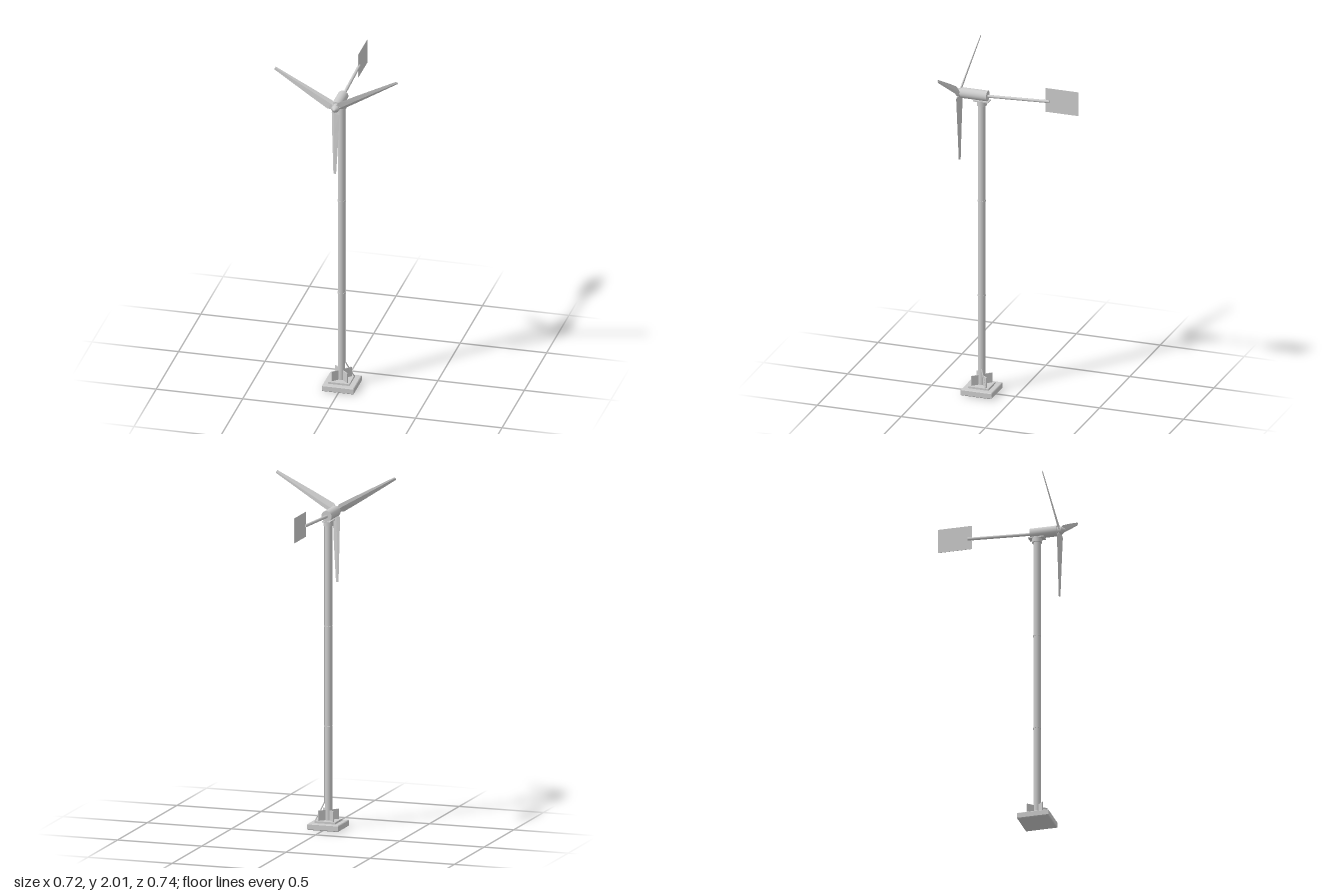
import * as THREE from 'three';

const AX = -0.005; // tower axis
const AZ = 0.203;
const HUB_Y = 1.79;
const grey = new THREE.MeshStandardMaterial({ color: 0xcccccc });
const flat = new THREE.MeshStandardMaterial({ color: 0xcccccc, flatShading: true });
const thin = new THREE.MeshStandardMaterial({ color: 0xcccccc, side: THREE.DoubleSide });

function add(parent, name, geometry, x, y, z, material = grey) {
  const mesh = new THREE.Mesh(geometry, material);
  mesh.name = name;
  mesh.position.set(x, y, z);
  parent.add(mesh);
  return mesh;
}

// Square slab with chamfered edges, resting on y = 0
function slab(size, height, bevel) {
  const h = size / 2 - bevel;
  const shape = new THREE.Shape([[-h, -h], [h, -h], [h, h], [-h, h]].map(p => new THREE.Vector2(...p)));
  const geo = new THREE.ExtrudeGeometry(shape, {
    depth: height - 2 * bevel, bevelEnabled: true, bevelSize: bevel, bevelThickness: bevel, bevelSegments: 1,
  });
  return geo.rotateX(-Math.PI / 2).translate(0, bevel, 0);
}

// Tapered, pitched blade pointing up +y, lofted from four-sided sections
function bladeGeometry() {
  // distance from hub, chord, thickness, pitch, sideways shift
  const sections = [
    [0.012, 0.026, 0.016, 0.40, 0],
    [0.035, 0.054, 0.012, 0.40, 0],
    [0.15, 0.044, 0.009, 0.34, 0.001],
    [0.29, 0.030, 0.007, 0.31, 0.003],
    [0.408, 0.018, 0.005, 0.30, 0.005],
  ];
  const pos = [], idx = [], n = 4;
  for (const [r, c, t, pitch, shift] of sections) {
    const loop = [[c / 2, 0], [c * 0.12, -t / 2], [-c / 2, 0], [c * 0.12, t / 2]];
    for (const [x, z] of loop) {
      pos.push(x * Math.cos(pitch) + z * Math.sin(pitch) + shift, r, z * Math.cos(pitch) - x * Math.sin(pitch));
    }
  }
  for (let s = 0; s < sections.length - 1; s++) {
    for (let i = 0; i < n; i++) {
      const a = s * n + i, b = s * n + (i + 1) % n;
      idx.push(a, b, b + n, a, b + n, a + n);
    }
  }
  const e = (sections.length - 1) * n;
  idx.push(0, 2, 1, 0, 3, 2, e, e + 1, e + 2, e, e + 2, e + 3);
  const geo = new THREE.BufferGeometry();
  geo.setAttribute('position', new THREE.Float32BufferAttribute(pos, 3));
  geo.setIndex(idx);
  geo.computeVertexNormals();
  return geo;
}

// Straight rod between two points
function rod(parent, name, from, to, radius, sides = 8) {
  const a = new THREE.Vector3(...from), b = new THREE.Vector3(...to);
  const dir = b.clone().sub(a);
  const mesh = add(parent, name, new THREE.CylinderGeometry(radius, radius, dir.length(), sides), 0, 0, 0);
  mesh.position.copy(a).add(b).multiplyScalar(0.5);
  mesh.quaternion.setFromUnitVectors(new THREE.Vector3(0, 1, 0), dir.normalize());
  return mesh;
}

export function createModel() {
  const model = new THREE.Group();
  model.name = 'windTurbine';

  // Foundation with mounting plate and diagonal stiffeners
  const base = new THREE.Group();
  base.name = 'foundation';
  model.add(base);
  add(base, 'footing', slab(0.184, 0.036, 0.004), AX + 0.002, 0, AZ, flat);
  add(base, 'mountingPlate', new THREE.BoxGeometry(0.122, 0.012, 0.122), AX, 0.041, AZ);
  for (const side of [-1, 1]) {
    const fin = add(base, 'stiffener', new THREE.BoxGeometry(0.13, 0.058, 0.006), AX, 0.076, AZ);
    fin.rotation.y = side * Math.PI / 4;
  }

  // Tower in three sections with joint rings
  const tower = new THREE.Group();
  tower.name = 'tower';
  model.add(tower);
  add(tower, 'pole', new THREE.CylinderGeometry(0.021, 0.021, 1.69, 20), AX, 0.89, AZ);
  for (const y of [0.583, 1.155]) {
    add(tower, 'jointRing', new THREE.CylinderGeometry(0.0235, 0.0235, 0.007, 20), AX, y, AZ);
  }
  add(tower, 'yawBearing', new THREE.CylinderGeometry(0.028, 0.028, 0.032, 20), AX, 1.746, AZ);
  add(tower, 'saddlePlate', new THREE.BoxGeometry(0.048, 0.007, 0.09), AX, 1.758, AZ);

  // Cable down the tower and out to the ground
  rod(model, 'towerCable', [0.017, 1.755, 0.196], [0.017, 0.145, 0.196], 0.0035);
  rod(model, 'lowerCable', [0.017, 0.147, 0.196], [0.059, 0.045, 0.157], 0.0035);
  rod(model, 'groundCable', [0.084, 0.03, 0.116], [0.089, 0.01, 0.111], 0.0025);

  // Generator housing
  add(model, 'nacelle', new THREE.CylinderGeometry(0.0305, 0.0305, 0.156, 24).rotateX(Math.PI / 2), AX, HUB_Y, 0.245);

  // Rotor: hub, nose cone and three blades
  const rotor = new THREE.Group();
  rotor.name = 'rotor';
  rotor.position.set(AX, HUB_Y, 0.336);
  model.add(rotor);
  add(rotor, 'hub', new THREE.CylinderGeometry(0.023, 0.023, 0.028, 16).rotateX(Math.PI / 2), 0, 0, -0.001);
  add(rotor, 'noseCone', new THREE.CylinderGeometry(0.005, 0.023, 0.022, 16).rotateX(Math.PI / 2), 0, 0, 0.023);
  const blade = bladeGeometry();
  for (let i = 0; i < 3; i++) {
    add(rotor, 'blade', blade, 0, 0, 0, flat).rotation.z = Math.PI + i * Math.PI * 2 / 3;
  }

  // Tail boom rising gently to the vane
  rod(model, 'tailBoom', [AX, 1.788, 0.18], [AX, 1.806, -0.2], 0.0085, 12);
  add(model, 'tailVane', new THREE.BoxGeometry(0.002, 0.143, 0.197), AX, 1.814, -0.2745, thin);

  return model;
}
